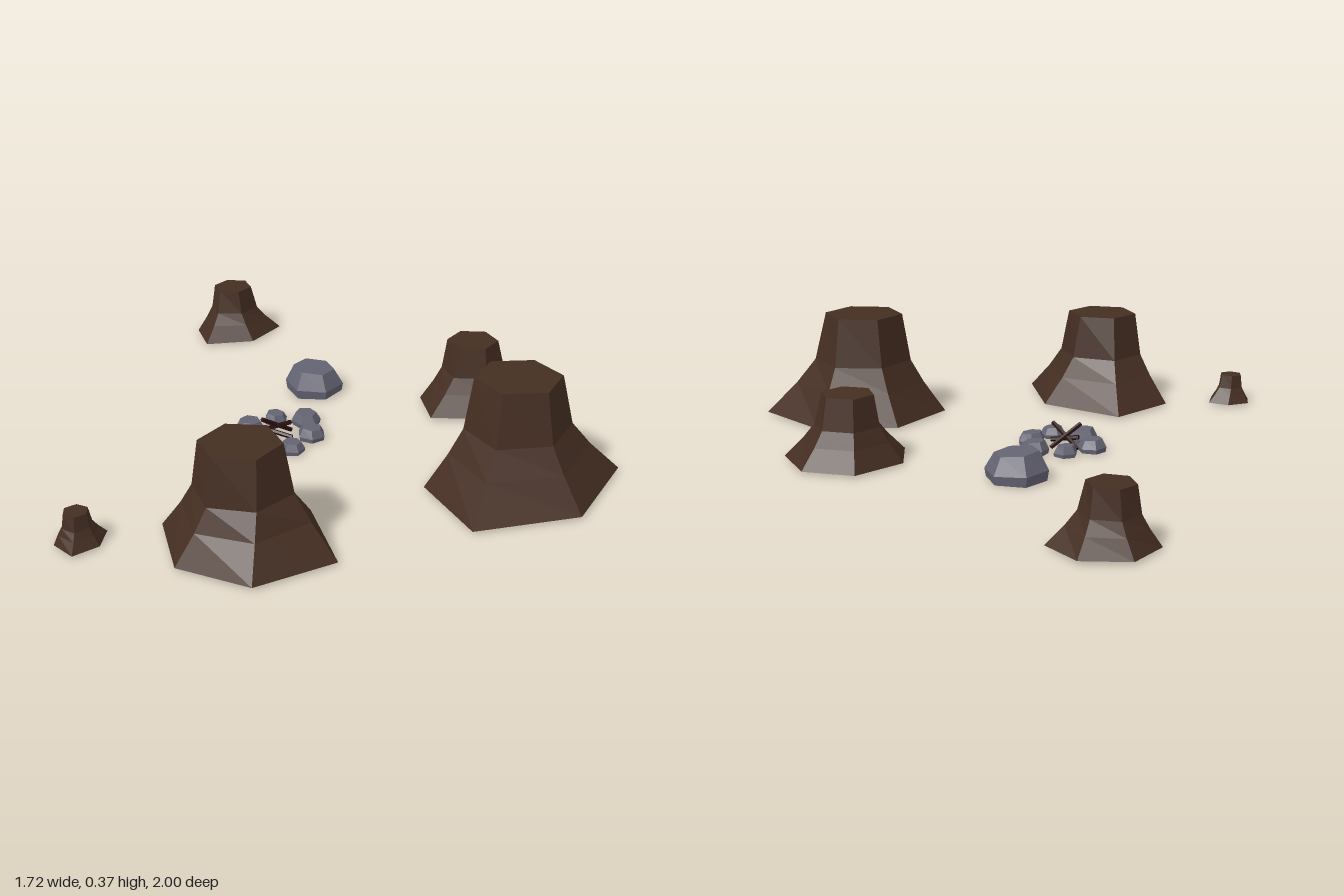
import * as THREE from 'three';

const bark = new THREE.MeshStandardMaterial({ name: 'bark brown', color: 0x452e22 });
const stone = new THREE.MeshStandardMaterial({ name: 'stone grey', color: 0x656473 });
const dark = new THREE.MeshStandardMaterial({ name: 'charred brown', color: 0x2a1110 });
for (const m of [bark, stone, dark]) m.flatShading = true;

// Faceted solid through rings of [x, y, z] points, bottom to top; the underside is group 1
function loft(rings) {
  const pos = [];
  const tri = (...pts) => pts.forEach((p) => pos.push(...p));
  const n = rings[0].length;
  const centre = (r) => [0, 1, 2].map((k) => r.reduce((s, p) => s + p[k], 0) / n);
  const top = rings[rings.length - 1];
  const cTop = centre(top), cBase = centre(rings[0]);
  for (let l = 0; l < rings.length - 1; l++) {
    for (let i = 0; i < n; i++) {
      const j = (i + 1) % n, a = rings[l], b = rings[l + 1];
      tri(a[i], b[i], b[j]);
      tri(a[i], b[j], a[j]);
    }
  }
  for (let i = 0; i < n; i++) tri(cTop, top[(i + 1) % n], top[i]);
  const split = pos.length / 3;
  for (let i = 0; i < n; i++) tri(cBase, rings[0][i], rings[0][(i + 1) % n]);
  const g = new THREE.BufferGeometry();
  g.setAttribute('position', new THREE.Float32BufferAttribute(pos, 3));
  g.addGroup(0, split, 0);
  g.addGroup(split, pos.length / 3 - split, 1);
  g.computeVertexNormals();
  return g;
}

// Six points, starting on the left and running round the back
const hexagon = (cx, cz, r, turn = 0) => Array.from({ length: 6 }, (_, i) => {
  const a = Math.PI + turn + (i * Math.PI) / 3;
  return [cx + r * Math.cos(a), cz + r * Math.sin(a)];
});

// Stump: regular cut top flaring out to an irregular root outline
function stump(name, height, cx, cz, r, turn, base) {
  const top = hexagon(cx, cz, r, turn);
  const y0 = 0.008;
  // [height fraction, share of the way out to the root outline]
  const rings = [[0, 1], [0.3, 0.5], [0.53, 0.19], [1, 0]].map(([f, t]) =>
    base.map((b, i) => [
      top[i][0] + (b[0] - top[i][0]) * t,
      y0 + (height - y0) * f,
      top[i][1] + (b[1] - top[i][1]) * t,
    ]));
  const m = new THREE.Mesh(loft(rings), [bark, dark]);
  m.name = name;
  return m;
}

// Rock: bevelled six-sided lump with a slightly tilted flat top
function rock(name, cx, cz, r, height, turn) {
  const rings = [[0, 0.95], [0.35, 1], [1, 0.7]].map(([f, s]) =>
    hexagon(cx, cz, r * s, turn).map(([x, z]) =>
      [x, 0.003 + height * f * (1 - 0.12 * (x - cx) / r), z]));
  const m = new THREE.Mesh(loft(rings), [stone, dark]);
  m.name = name;
  return m;
}

// Stick between two points
function stick(a, b, r) {
  const from = new THREE.Vector3(...a), to = new THREE.Vector3(...b);
  const dir = to.clone().sub(from);
  const m = new THREE.Mesh(new THREE.CylinderGeometry(r, r, dir.length(), 6), dark);
  m.position.copy(from).add(to).multiplyScalar(0.5);
  m.quaternion.setFromUnitVectors(new THREE.Vector3(0, 1, 0), dir.normalize());
  m.name = 'firewoodStick';
  return m;
}

export function createModel() {
  const model = new THREE.Group();
  model.name = 'campsite';

  // Tree stumps
  model.add(
    stump('backStump', 0.193, -0.587, -0.863, 0.073, 0.06,
      [[-0.73, -0.84], [-0.67, -0.97], [-0.52, -1.0], [-0.41, -0.905], [-0.495, -0.745], [-0.67, -0.7]]),
    stump('leftBackStump', 0.236, 0.368, -0.295, 0.09, 0,
      [[0.185, -0.285], [0.295, -0.452], [0.475, -0.452], [0.592, -0.3], [0.452, -0.13], [0.23, -0.12]]),
    stump('leftFrontStump', 0.375, 0.512, 0.307, 0.141, -0.15,
      [[0.225, 0.375], [0.325, 0.105], [0.6, 0.025], [0.855, 0.195], [0.717, 0.525], [0.383, 0.64]]),
    stump('frontStump', 0.335, -0.298, 0.733, 0.127, 0,
      [[-0.56, 0.667], [-0.415, 0.437], [-0.118, 0.55], [-0.005, 0.842], [-0.235, 0.995], [-0.473, 0.91]]),
    stump('smallStump', 0.11, -0.79, 0.783, 0.04, 0.35,
      [[-0.86, 0.75], [-0.79, 0.7], [-0.717, 0.72], [-0.717, 0.81], [-0.785, 0.873], [-0.855, 0.815]]),
  );

  // Sitting rock
  model.add(rock('sittingRock', -0.205, -0.335, 0.105, 0.09, 0));

  // Ring of stones and the sticks inside it
  const fire = new THREE.Group();
  fire.name = 'campfire';
  [
    [-0.31, -0.058, 0.042], [-0.203, -0.056, 0.051], [-0.387, 0.018, 0.05],
    [-0.172, 0.052, 0.049], [-0.335, 0.125, 0.053], [-0.225, 0.155, 0.043],
  ].forEach(([x, z, r], i) => fire.add(rock('fireStone', x, z, r, r * 0.85, 0.5 + i * 0.3)));
  fire.add(
    stick([-0.34, 0.008, 0.012], [-0.24, 0.075, 0.083], 0.008),
    stick([-0.248, 0.008, 0.008], [-0.337, 0.078, 0.078], 0.008),
    stick([-0.235, 0.015, 0.078], [-0.335, 0.035, 0.058], 0.008),
  );
  model.add(fire);
  return model;
}
